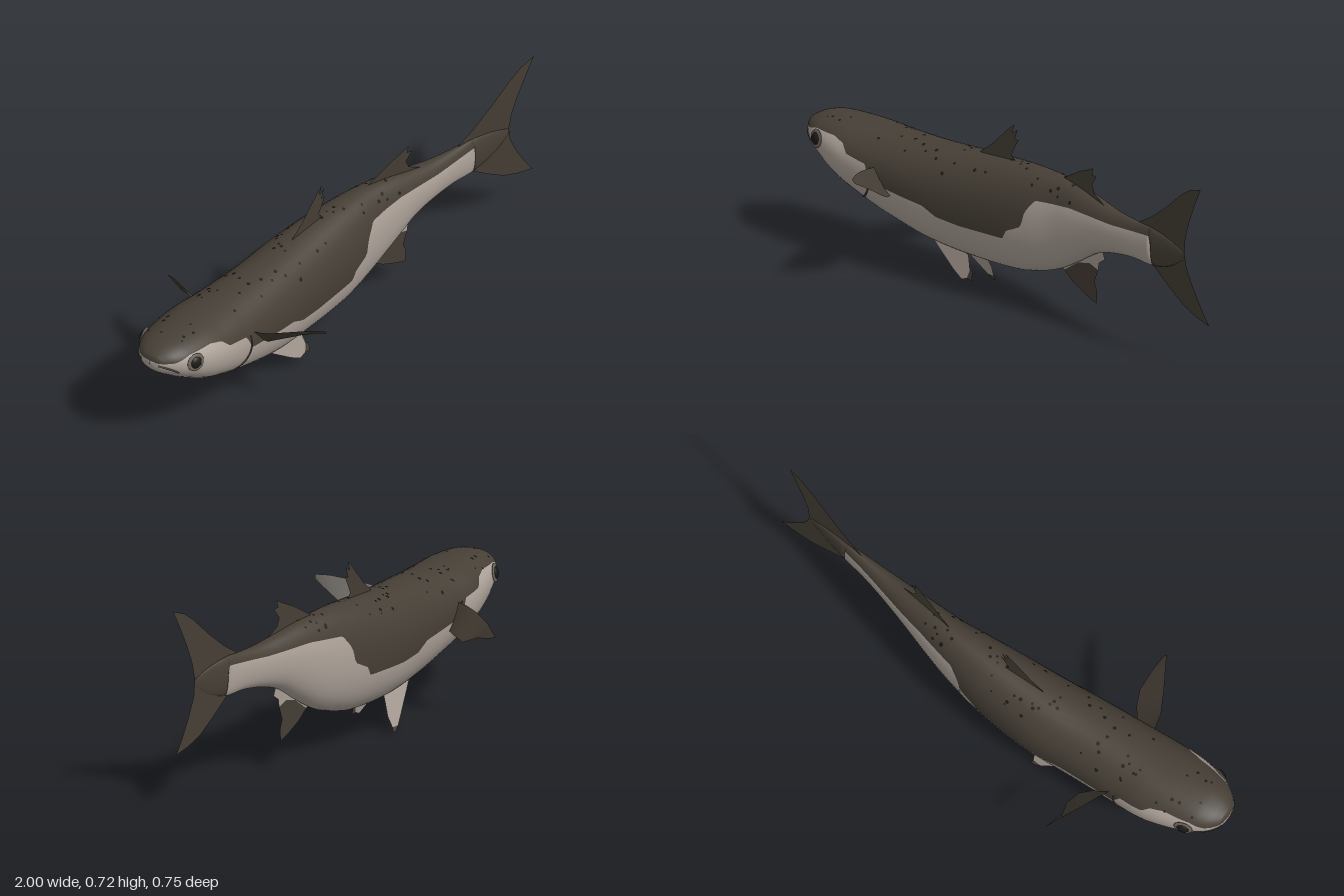
import * as THREE from 'three';

const paint = (name, color, side = THREE.FrontSide) => {
  const m = new THREE.MeshStandardMaterial({ color, side });
  m.name = name;
  return m;
};

// Body stations: x, top y, bottom y, middle z, half width
const STATIONS = [
  [-1, .436, .434, -.005, .002], [-.995, .46, .412, -.007, .035], [-.98, .473, .392, -.008, .062],
  [-.95, .488, .368, -.008, .09], [-.9, .5, .332, -.008, .117], [-.8, .506, .272, -.008, .143],
  [-.7, .506, .23, -.011, .152], [-.6, .506, .195, -.009, .149], [-.4, .511, .146, -.009, .143],
  [-.2, .522, .126, -.016, .136], [0, .534, .13, -.012, .118], [.1, .537, .15, -.007, .103],
  [.2, .535, .185, 0, .085], [.3, .526, .242, .013, .071], [.4, .51, .303, .028, .057],
  [.5, .496, .334, .045, .043], [.6, .492, .348, .06, .03], [.7, .492, .348, .073, .019],
  [.8, .475, .375, .087, .009], [.87, .45, .42, .097, .003],
];
// Lower limit of the dark back: x, y
const EDGE = [
  [-1, .445], [-.95, .447], [-.9, .462], [-.8, .463], [-.75, .45], [-.72, .42], [-.63, .405], [-.6, .345],
  [-.45, .325], [-.36, .315], [-.3, .285], [-.2, .275], [0, .275], [.02, .31], [.085, .34], [.1, .4],
  [.14, .45], [.3, .462], [.5, .455], [.68, .462], [.7, .462], [.707, .3], [1, .3],
];

// Smooth lookup in a table; straight lookup when smooth is false
function lookup(table, x, col, smooth = true) {
  let i = 0;
  while (i < table.length - 2 && x > table[i + 1][0]) i++;
  const slope = (a, b) => (table[b][col] - table[a][col]) / (table[b][0] - table[a][0]);
  const d = table[i + 1][0] - table[i][0], t = (x - table[i][0]) / d;
  const p = table[i][col], q = table[i + 1][col];
  if (!smooth) return p + (q - p) * t;
  const m0 = slope(Math.max(i - 1, 0), i + 1) * d;
  const m1 = slope(i, Math.min(i + 2, table.length - 1)) * d;
  const t2 = t * t, t3 = t2 * t;
  return (2 * t3 - 3 * t2 + 1) * p + (t3 - 2 * t2 + t) * m0 + (3 * t2 - 2 * t3) * q + (t3 - t2) * m1;
}

const ROUND = 0.94;
function section(x) {
  const [top, bottom, z, w] = [1, 2, 3, 4].map(c => lookup(STATIONS, x, c));
  const cy = bottom + (top - bottom) * .54;
  return { cy, up: top - cy, down: cy - bottom, z, w };
}
// Point of the skin at an angle: 0 is the left side, PI/2 the back
function skin(x, a) {
  const s = section(x), sn = Math.sin(a), cs = Math.cos(a);
  const pow = v => Math.sign(v) * Math.abs(v) ** ROUND;
  return new THREE.Vector3(x, s.cy + pow(sn) * (sn > 0 ? s.up : s.down), s.z + pow(cs) * s.w);
}
function angleAt(x, y) {
  const s = section(x);
  const u = THREE.MathUtils.clamp((y - s.cy) / (y > s.cy ? s.up : s.down), -.995, .995);
  return Math.asin(Math.sign(u) * Math.abs(u) ** (1 / ROUND));
}
// Skin point at a height on one side, and its outward direction
const onSide = (x, y, side) => {
  const a = angleAt(x, y);
  return skin(x, side > 0 ? a : Math.PI - a);
};
function outward(x, a) {
  const along = skin(x + .005, a).sub(skin(x - .005, a));
  const around = skin(x, a + .02).sub(skin(x, a - .02));
  return along.cross(around).normalize().negate();
}

// One closed loft; the dark and pale halves share the row along the colour edge
function bodyGeometry() {
  const N = 220, H = 22, R = H * 2, pos = [], dark = [], pale = [];
  for (let i = 0; i <= N; i++) {
    const x = -1 + 1.87 * (i / N) ** 1.3;
    const b = angleAt(x, lookup(EDGE, x, 1, false));
    for (let j = 0; j < R; j++) {
      const a = j < H ? b + (Math.PI - 2 * b) * j / H
        : Math.PI - b + (Math.PI + 2 * b) * (j - H) / H;
      pos.push(...skin(x, a).toArray());
    }
  }
  for (let i = 0; i < N; i++) for (let j = 0; j < R; j++) {
    const k = (j + 1) % R, a = i * R + j, b = i * R + k, c = a + R, d = b + R;
    (j < H ? dark : pale).push(a, b, c, b, d, c);
  }
  // Keep the winding pointing out
  const flip = l => { for (let i = 0; i < l.length; i += 3) [l[i + 1], l[i + 2]] = [l[i + 2], l[i + 1]]; };
  flip(dark); flip(pale);
  const g = new THREE.BufferGeometry();
  g.setAttribute('position', new THREE.Float32BufferAttribute(pos, 3));
  g.setIndex([...dark, ...pale]);
  g.addGroup(0, dark.length, 0);
  g.addGroup(dark.length, pale.length, 1);
  g.computeVertexNormals();
  return g;
}

// Flat outline in x and y, set to depth by a rule
function sheet(points, depth) {
  const g = new THREE.ShapeGeometry(new THREE.Shape(points.map(p => new THREE.Vector2(...p))));
  const p = g.attributes.position;
  for (let i = 0; i < p.count; i++) p.setZ(i, depth(p.getX(i), p.getY(i)));
  g.computeVertexNormals();
  return g;
}
// Web between a leading and a trailing edge of equal length
function web(lead, trail) {
  const pos = [...lead, ...trail].flat(), n = lead.length, idx = [];
  for (let i = 0; i < n - 1; i++) idx.push(i, n + i, i + 1, i + 1, n + i, n + i + 1);
  const g = new THREE.BufferGeometry();
  g.setAttribute('position', new THREE.Float32BufferAttribute(pos, 3));
  g.setIndex(idx);
  g.computeVertexNormals();
  return g;
}

export function createModel() {
  const fish = new THREE.Group();
  fish.name = 'fish';
  const back = paint('dark back', 0x463f36), belly = paint('pale belly', 0xaea39a);
  const fin = paint('dark fin', 0x443d34, THREE.DoubleSide);
  const paleFin = paint('pale fin', 0xa89d93, THREE.DoubleSide);
  const black = paint('eye black', 0x1c1916), ring = paint('eye ring', 0x6c645b);
  const add = (name, geo, mat) => {
    const m = new THREE.Mesh(geo, mat);
    m.name = name;
    fish.add(m);
    return m;
  };

  add('body', bodyGeometry(), [back, belly]);

  // Fins on the middle line
  add('tailFin', sheet([[.62, .488], [.7, .535], [.78, .595], [.87, .672], [.92, .705], [.98, .725],
    [.945, .655], [.91, .58], [.885, .51], [.875, .45], [.885, .39], [.92, .32], [.96, .255], [1, .2],
    [.93, .215], [.86, .24], [.78, .29], [.7, .346]],
  (x, y) => .073 + .14 * (x - .7) + .05 * (y - .45)), fin);
  add('frontDorsalFin', sheet([[-.21, .51], [-.2, .528], [-.15, .565], [-.1, .615], [-.07, .645], [-.04, .67],
    [-.052, .635], [-.025, .652], [-.04, .612], [-.02, .615], [-.045, .57], [-.055, .55], [-.03, .525]],
  () => -.009), fin);
  add('rearDorsalFin', sheet([[.19, .525], [.24, .553], [.3, .588], [.35, .61], [.385, .627], [.378, .6],
    [.402, .598], [.375, .56], [.39, .53], [.43, .507], [.47, .49]],
  (x, y) => .2 * (x - .2) + .05 * (y - .53)), fin);
  const analDepth = x => .012 + .07 * (x - .2);
  add('analFin', sheet([[.22, .188], [.27, .152], [.33, .125], [.385, .105], [.39, .15], [.375, .185],
    [.395, .235], [.35, .25], [.29, .235]], analDepth), fin);
  add('analFinBase', sheet([[.2, .2], [.22, .188], [.29, .235], [.35, .25], [.395, .235], [.4, .265],
    [.43, .285], [.42, .31], [.3, .29]], analDepth), paleFin);

  // Pectoral fins
  add('leftPectoralFin', web(
    [[-.59, .4, .12], [-.575, .415, .19], [-.54, .435, .26], [-.5, .452, .33], [-.475, .455, .375]],
    [[-.52, .31, .12], [-.47, .335, .19], [-.45, .36, .24], [-.455, .405, .31], [-.465, .44, .37]]), fin);
  add('rightPectoralFin', web(
    [[-.59, .4, -.14], [-.56, .4, -.2], [-.53, .39, -.26], [-.49, .37, -.325], [-.455, .335, -.378]],
    [[-.53, .31, -.14], [-.48, .31, -.19], [-.46, .295, -.24], [-.475, .315, -.29], [-.46, .325, -.35]]), fin);

  // Pelvic fins with dark tips
  add('leftPelvicFin', sheet([[-.4, .155], [-.33, .105], [-.28, .07], [-.235, .045], [-.21, .055], [-.2, .09],
    [-.215, .14], [-.3, .16]], (x, y) => .058 - .16 * (y - .05) + .05 * (x + .2)), paleFin);
  add('leftPelvicTip', sheet([[-.21, .055], [-.185, .052], [-.185, .085], [-.2, .09]],
    (x, y) => .058 - .16 * (y - .05) + .05 * (x + .2)), fin);
  const farDepth = (x, y) => -.1 + .4 * y + .1 * (x + .22);
  add('rightPelvicFin', sheet([[-.4, .155], [-.34, .1], [-.29, .055], [-.25, .02], [-.215, .02], [-.21, .06],
    [-.23, .14], [-.3, .16]], farDepth), paleFin);
  add('rightPelvicTip', sheet([[-.25, .02], [-.225, .002], [-.21, .006], [-.215, .02]], farDepth), fin);

  // Eyes, gill edges and mouth
  for (const side of [1, -1]) {
    const name = side > 0 ? 'left' : 'right';
    const a = angleAt(-.885, .43), ang = side > 0 ? a : Math.PI - a;
    const at = skin(-.885, ang), n = outward(-.885, ang);
    if (n.z * side < 0) n.negate();
    const facing = new THREE.Quaternion().setFromUnitVectors(new THREE.Vector3(0, 0, 1), n);
    for (const [part, r, t, mat] of [['EyeRing', .035, .006, ring], ['Eye', .024, .013, black]]) {
      const m = add(name + part, new THREE.SphereGeometry(r, 24, 16), mat);
      m.scale.z = t / r;
      m.position.copy(at);
      m.quaternion.copy(facing);
    }
    const line = (part, pts, r) => add(name + part, new THREE.TubeGeometry(new THREE.CatmullRomCurve3(
      pts.map(p => onSide(...p, side))), 32, r, 6), back);
    line('GillEdge', [[-.605, .4], [-.605, .35], [-.625, .3], [-.665, .263], [-.72, .248], [-.77, .264]], .0035);
    line('Mouth', [[-.994, .434], [-.98, .428], [-.96, .415], [-.94, .398]], .004);
  }

  // Scattered dark spots on the back
  let seed = 7;
  const rand = () => (seed = (seed * 16807) % 2147483647) / 2147483647;
  const dot = new THREE.CircleGeometry(1, 8);
  for (let i = 0; i < 70; i++) {
    const x = -.9 + 1.25 * rand(), a = Math.PI * (.2 + .6 * rand());
    const n = outward(x, a);
    if (n.y < 0) n.negate();
    const m = add('spot', dot, black);
    m.position.copy(skin(x, a)).addScaledVector(n, .002);
    m.quaternion.setFromUnitVectors(new THREE.Vector3(0, 0, 1), n);
    m.scale.setScalar(.004 + .004 * rand());
  }
  return fish;
}
